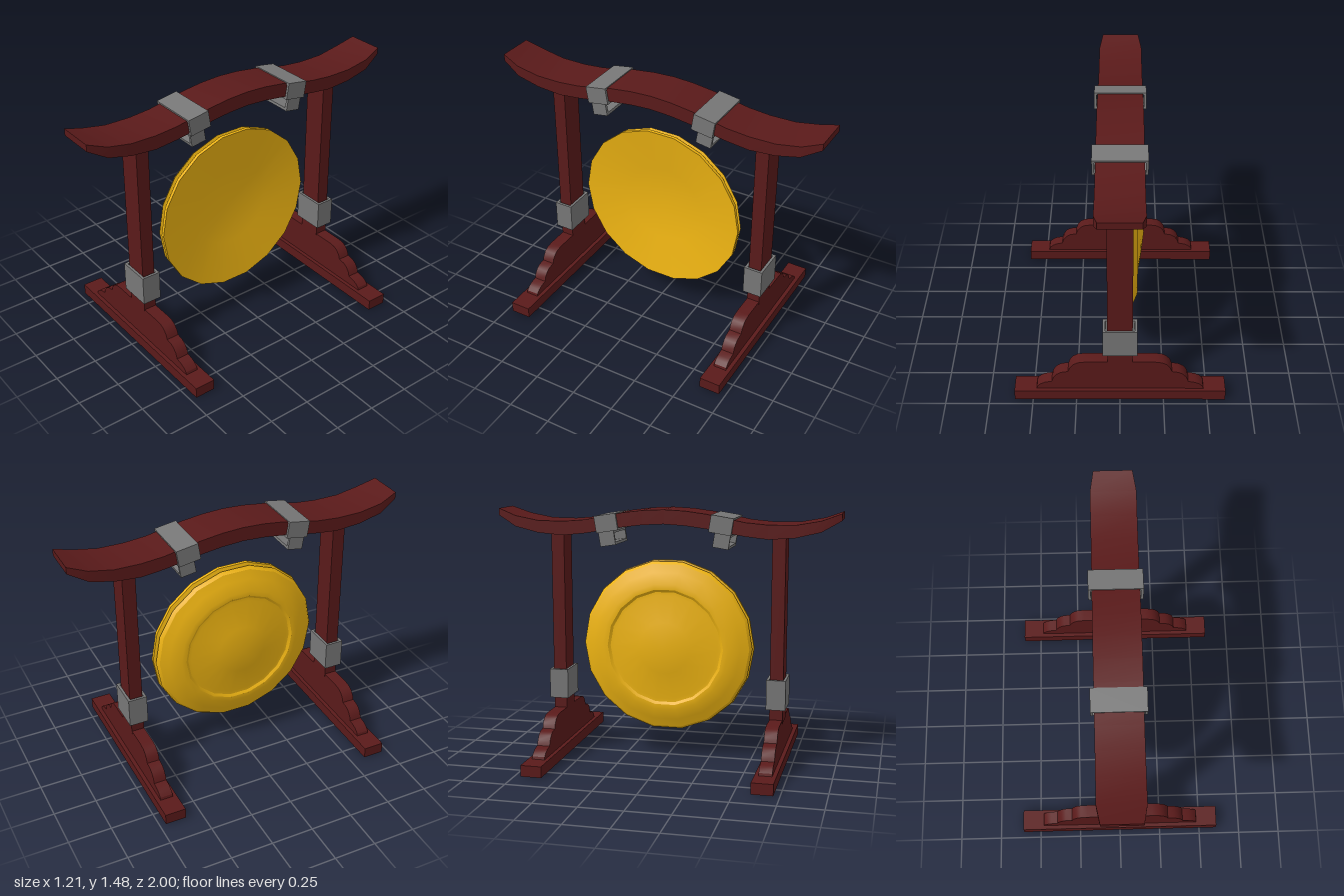
import * as THREE from 'three';
import { toCreasedNormals } from 'three/addons/utils/BufferGeometryUtils.js';

const wood = new THREE.MeshStandardMaterial({ color: 0x5a1a1a });
const gold = new THREE.MeshStandardMaterial({ color: 0xeeb412 });
const metal = new THREE.MeshStandardMaterial({ color: 0x777777 });

function add(parent, name, geometry, material, x = 0, y = 0, z = 0) {
  const mesh = new THREE.Mesh(geometry, material);
  mesh.name = name;
  mesh.position.set(x, y, z);
  parent.add(mesh);
  return mesh;
}

// Centred outline of a rectangle, for a shape or a hole
function rectangle(w, h) {
  return [[-w, -h], [w, -h], [w, h], [-w, h]].map(([x, y]) => new THREE.Vector2(x / 2, y / 2));
}

// Rectangular tube, open along z
function sleeve(w, h, depth, wall) {
  const shape = new THREE.Shape(rectangle(w, h));
  shape.holes.push(new THREE.Path(rectangle(w - 2 * wall, h - 2 * wall)));
  return new THREE.ExtrudeGeometry(shape, { depth, bevelEnabled: false }).translate(0, 0, -depth / 2);
}

// Curved beam: a segmented box moved onto sections [z, bottom, top, half width]
function beamGeometry() {
  const half = [
    [0, 1.393, 1.475, 0.13], [0.125, 1.386, 1.469, 0.13], [0.25, 1.37, 1.453, 0.13],
    [0.36, 1.35, 1.431, 0.13], [0.47, 1.332, 1.41, 0.13], [0.6, 1.318, 1.399, 0.13],
    [0.75, 1.33, 1.401, 0.13], [0.89, 1.364, 1.427, 0.13], [1, 1.427, 1.467, 0.11],
  ];
  const n = half.length - 1;
  const g = new THREE.BoxGeometry(2, 2, 2 * n, 1, 1, 2 * n);
  const p = g.attributes.position;
  for (let i = 0; i < p.count; i++) {
    const k = Math.round(p.getZ(i));
    const [z, bottom, top, w] = half[Math.abs(k)];
    p.setXYZ(i, p.getX(i) * w, p.getY(i) > 0 ? top : bottom, Math.sign(k) * z);
  }
  return toCreasedNormals(g, 0.5);
}

// Scalloped plinth, mirrored about its middle
function plinthGeometry() {
  const side = [
    [0.48, 0.06], [0.475, 0.08], [0.455, 0.1], [0.43, 0.112], [0.39, 0.12],
    [0.38, 0.15], [0.36, 0.175], [0.335, 0.19], [0.295, 0.197],
    [0.285, 0.225], [0.265, 0.25], [0.24, 0.264], [0.2, 0.27],
  ];
  const mirrored = side.map(([x, y]) => [-x, y]).reverse();
  const shape = new THREE.Shape([...side, ...mirrored].map(([x, y]) => new THREE.Vector2(x, y)));
  const g = new THREE.ExtrudeGeometry(shape, { depth: 0.075, bevelEnabled: false });
  return toCreasedNormals(g.translate(0, 0, -0.0375), 0.5);
}

// Gong turned about the x axis: domed back, grooved rim, dished face
function gongGeometry() {
  const profile = [
    [0, -0.14], [0.15, -0.12], [0.31, -0.09], [0.33, -0.09], [0.345, -0.1], [0.375, -0.1],
    [0.44, -0.07], [0.49, -0.05], [0.505, -0.03], [0.485, -0.022],
    [0.485, -0.008], [0.51, 0], [0.51, 0.02], [0.25, -0.018], [0, -0.05],
  ].map(([r, x]) => new THREE.Vector2(r, x));
  return toCreasedNormals(new THREE.LatheGeometry(profile, 18).rotateZ(-Math.PI / 2), 0.45);
}

export function createModel() {
  const model = new THREE.Group();
  model.name = 'gongStand';
  add(model, 'beam', beamGeometry(), wood);
  add(model, 'gong', gongGeometry(), gold, 0, 0.672, 0);

  for (const s of [1, -1]) {
    // Leg: foot, plinth, post and the sleeve around the post
    const leg = new THREE.Group();
    leg.name = s > 0 ? 'frontLeg' : 'backLeg';
    leg.position.z = s * 0.653;
    model.add(leg);
    add(leg, 'foot', new THREE.BoxGeometry(1.21, 0.065, 0.122), wood, 0, 0.0325, 0);
    add(leg, 'plinth', plinthGeometry(), wood);
    add(leg, 'post', new THREE.BoxGeometry(0.14, 1.09, 0.077), wood, 0, 0.795, 0);
    add(leg, 'postSleeve', sleeve(0.194, 0.112, 0.175, 0.015).rotateX(Math.PI / 2), metal, 0, 0.4225, 0);

    // Hanger: a sleeve around the beam with a smaller loop below, tilted with the beam
    const hanger = new THREE.Group();
    hanger.name = s > 0 ? 'frontHanger' : 'backHanger';
    hanger.position.set(0, 1.394, s * 0.335);
    hanger.rotation.x = s * 0.16;
    model.add(hanger);
    add(hanger, 'beamSleeve', sleeve(0.3, 0.098, 0.13, 0.014), metal);
    add(hanger, 'hangerLoop', sleeve(0.258, 0.084, 0.092, 0.016), metal, 0, -0.089, s * 0.014);
  }
  return model;
}
